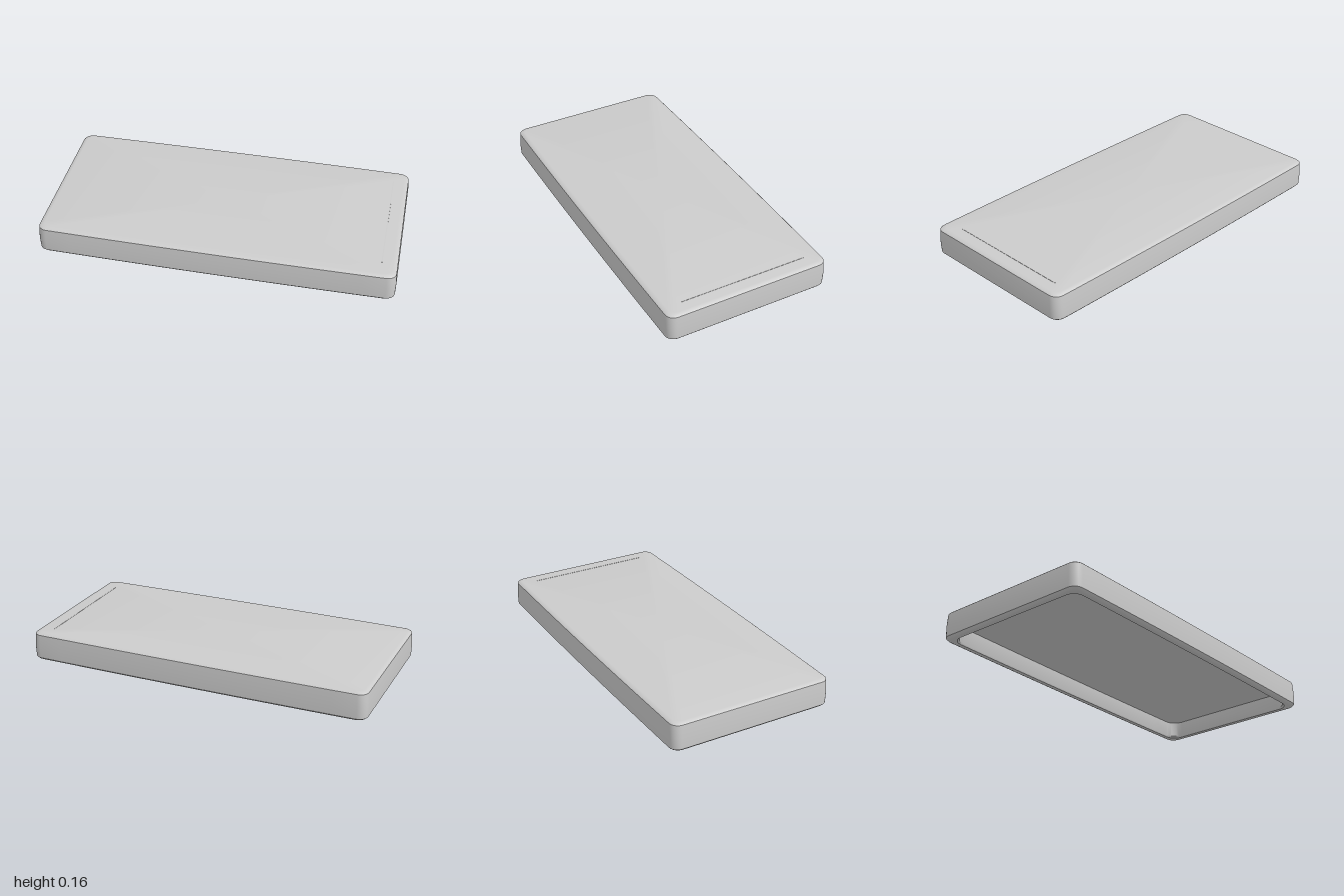
import * as THREE from 'three';
import { toCreasedNormals } from 'three/addons/utils/BufferGeometryUtils.js';

const material = new THREE.MeshStandardMaterial({ color: 0xcccccc });
const SIDE = 14, CORNER = 6;

// The plan is slightly skewed, with gently bowed long sides
const bend = (x, z) => 0.02 * x + z * (1 - 0.016 * x * x);

// Rounded outline at one height, pulled in from the edge by inset
function ring(y, inset, radius) {
  const hx = 1 - inset, hz = 0.488 - inset, pts = [];
  const corners = [[1, 1], [-1, 1], [-1, -1], [1, -1]];
  corners.forEach(([sx, sz], i) => {
    for (let k = 0; k <= CORNER; k++) {
      const a = (i + k / CORNER) * Math.PI / 2;
      pts.push([sx * (hx - radius) + radius * Math.cos(a), sz * (hz - radius) + radius * Math.sin(a)]);
    }
    // extra points along the long sides carry the bow
    if (i % 2 === 0) {
      for (let k = 1; k < SIDE; k++) {
        pts.push([sx * (hx - radius) * (1 - 2 * k / SIDE), sz * hz]);
      }
    }
  });
  return pts.map(([x, z]) => [x, y, bend(x, z)]);
}

// Joins rings from the top centre, over the rim, to the ceiling centre
function loft(rings, top, ceiling) {
  const n = rings[0].length, pos = [top, ...rings.flat(), ceiling].flat(), index = [];
  const last = 1 + n * rings.length;
  for (let j = 0; j < n; j++) {
    const k = (j + 1) % n;
    index.push(0, 1 + k, 1 + j);
    for (let r = 0; r < rings.length - 1; r++) {
      const a = 1 + r * n + j, b = 1 + r * n + k;
      index.push(a, b, a + n, b, b + n, a + n);
    }
    index.push(last, last - n + j, last - n + k);
  }
  const g = new THREE.BufferGeometry();
  g.setAttribute('position', new THREE.Float32BufferAttribute(pos, 3));
  g.setIndex(index);
  return toCreasedNormals(g, 0.6);
}

export function createModel() {
  const group = new THREE.Group();
  const add = (name, geometry) => {
    const mesh = new THREE.Mesh(geometry, material);
    mesh.name = name;
    group.add(mesh);
    return mesh;
  };

  // Shell: closed top, outer wall, rounded rim, inner wall and ceiling
  const profile = [
    [0.162, 0.03, 0.04], [0.159, 0.012, 0.045], [0.152, 0.004, 0.05], [0.08, 0, 0.05],
    [0.014, 0.002, 0.05], [0.005, 0.01, 0.05], [0, 0.02, 0.05],
    [0.002, 0.042, 0.06], [0.012, 0.046, 0.07], [0.1, 0.052, 0.07],
  ];
  add('shell', loft(profile.map(p => ring(...p)), [0, 0.163, 0], [0, 0.1, 0]));

  // Fine ridge across the top near the left end
  add('topRidge', new THREE.BoxGeometry(0.006, 0.004, 0.74)).position.set(0.91, 0.1615, 0.01);

  // Wedge tabs on the inside of the front wall, under the ceiling
  for (const [x, length] of [[-0.13, 0.46], [0.45, 0.26]]) {
    const wedge = new THREE.Shape([[0, 0.045], [0, 0.105], [-0.06, 0.105], [-0.045, 0.06]]
      .map(([a, b]) => new THREE.Vector2(a, b)));
    const g = new THREE.ExtrudeGeometry(wedge, { depth: length, bevelEnabled: false });
    g.translate(0, 0, -length / 2).rotateY(-Math.PI / 2);
    const tab = add('frontTab', g);
    tab.position.set(x, 0, bend(x, 0.44));
    tab.rotation.y = -0.02;
  }
  return group;
}
